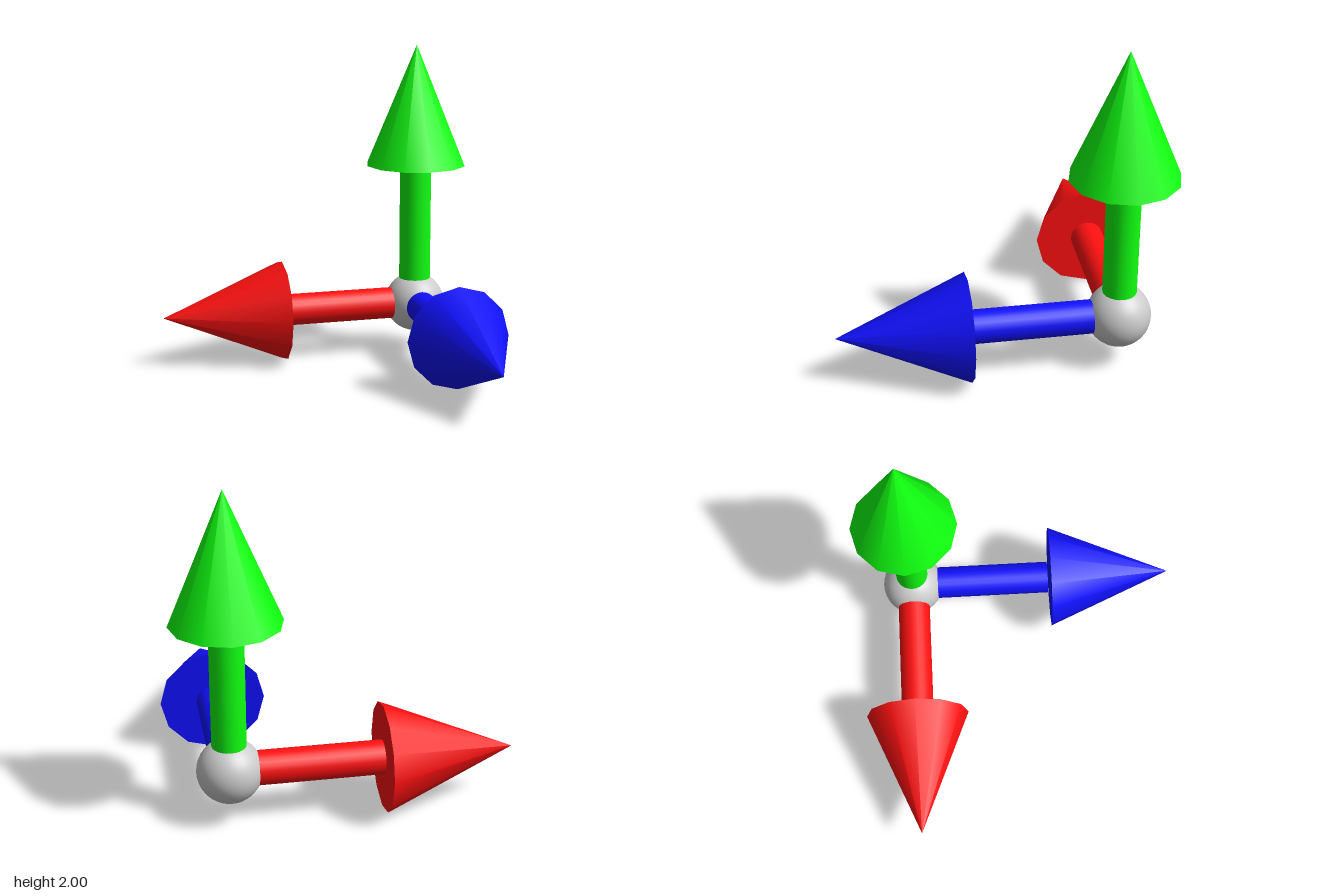
import * as THREE from 'three';

const SHAFT_RADIUS = 0.1;
const HEAD_RADIUS = 0.32;
const HEAD_LENGTH = 0.765;

// One arrow pointing along +y from the origin: round shaft and 12-sided head
function makeArrow(name, color, shaftEnd, headStart) {
  const arrow = new THREE.Group();
  arrow.name = name;
  const material = new THREE.MeshStandardMaterial({ color });

  const shaftStart = 0.1;
  const shaft = new THREE.Mesh(
    new THREE.CylinderGeometry(SHAFT_RADIUS, SHAFT_RADIUS, shaftEnd - shaftStart, 24),
    material
  );
  shaft.name = name + 'Shaft';
  shaft.position.y = (shaftStart + shaftEnd) / 2;

  const head = new THREE.Mesh(new THREE.ConeGeometry(HEAD_RADIUS, HEAD_LENGTH, 12), material);
  head.name = name + 'Head';
  head.position.y = headStart + HEAD_LENGTH / 2;

  arrow.add(shaft, head);
  return arrow;
}

export function createModel() {
  const model = new THREE.Group();
  model.name = 'axisArrows';

  // Everything hangs on the joint at the corner
  const hub = new THREE.Group();
  hub.name = 'hub';
  hub.position.set(0.665, 0.325, -0.665);
  model.add(hub);

  const ball = new THREE.Mesh(
    new THREE.SphereGeometry(0.19, 32, 20),
    new THREE.MeshStandardMaterial({ color: 0xcccccc })
  );
  ball.name = 'centreBall';
  hub.add(ball);

  // Upright arrow
  const up = makeArrow('upArrow', 0x10ff10, 0.895, 0.91);

  // Arrow towards -x
  const side = makeArrow('sideArrow', 0xff1010, 0.885, 0.885);
  side.rotation.z = Math.PI / 2;

  // Arrow towards +z
  const forward = makeArrow('forwardArrow', 0x1010ff, 0.87, 0.885);
  forward.rotation.x = Math.PI / 2;

  hub.add(up, side, forward);
  return model;
}
